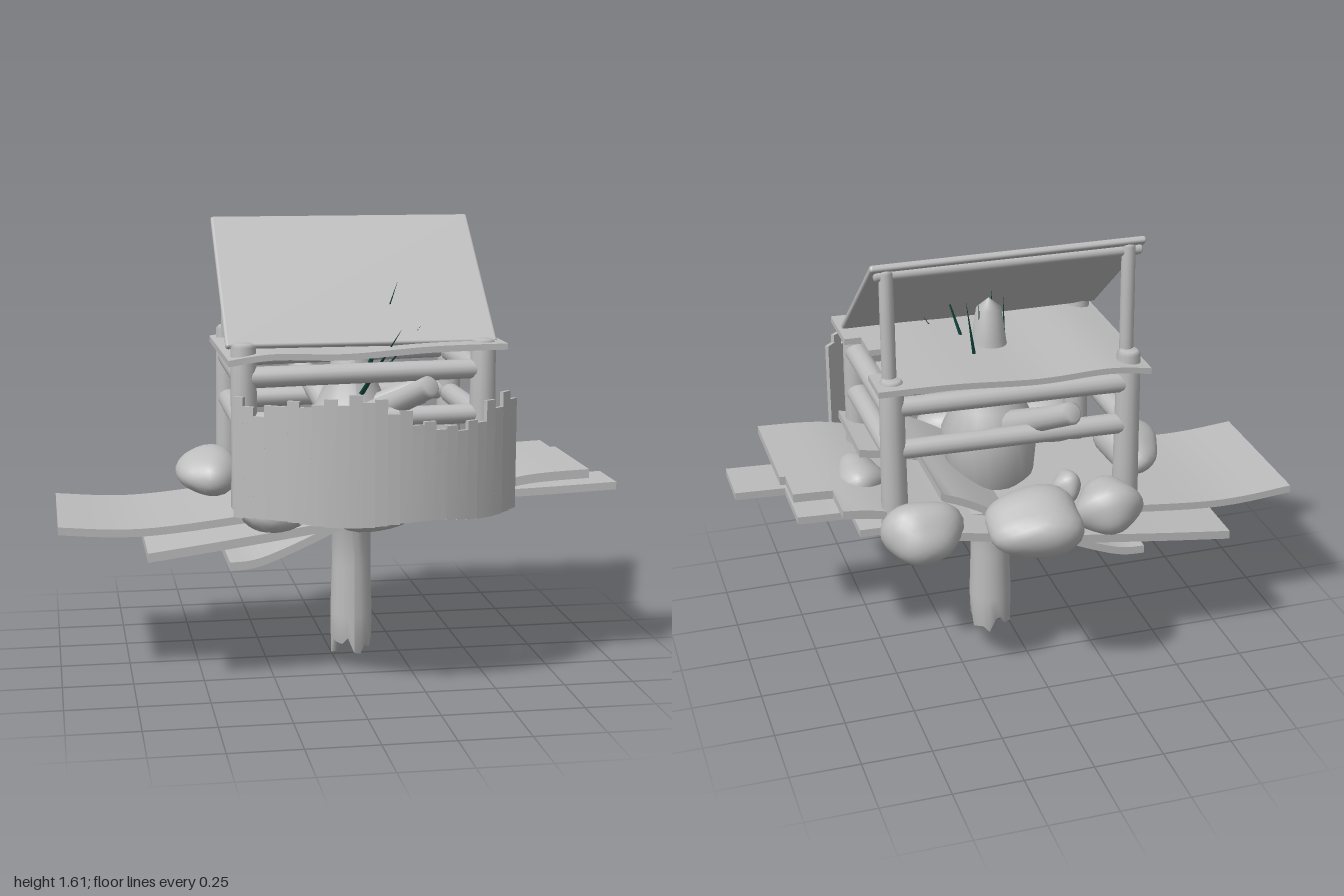
import * as THREE from 'three';
import { mergeGeometries, mergeVertices, toCreasedNormals } from 'three/addons/utils/BufferGeometryUtils.js';
import { RoundedBoxGeometry } from 'three/addons/geometries/RoundedBoxGeometry.js';

const V = (x, y, z) => new THREE.Vector3(x, y, z);

export function createModel() {
  const model = new THREE.Group();
  const grey = new THREE.MeshStandardMaterial({ color: 0xbdbdbd });
  grey.name = 'weathered grey';
  const green = new THREE.MeshStandardMaterial({ color: 0x0f4a3c, side: THREE.DoubleSide });
  green.name = 'dark green';

  const add = (name, geometry, material = grey) => {
    const mesh = new THREE.Mesh(geometry, material);
    mesh.name = name;
    model.add(mesh);
    return mesh;
  };

  // Slightly knobbly round log between two points
  const log = (name, a, b, r0, r1 = r0) => {
    const length = a.distanceTo(b);
    const c = Math.min(0.012, r1 * 0.4);
    const profile = [[0, 0], [r0 - c, 0], [r0, c], [r0 * 0.95, length * 0.3],
      [r1 * 1.04, length * 0.65], [r1, length - c], [r1 - c, length], [0, length]];
    const geo = new THREE.LatheGeometry(profile.map(p => new THREE.Vector2(...p)), 14);
    const mesh = add(name, geo);
    mesh.position.copy(a);
    mesh.quaternion.setFromUnitVectors(V(0, 1, 0), b.clone().sub(a).normalize());
  };

  // Warped layer of boards: a curve in x and y, split in z into strips [z0, z1, endX]
  const boards = (name, path, strips, t) => {
    const curve = new THREE.SplineCurve(path.map(p => new THREE.Vector2(...p)));
    const parts = strips.map(([z0, z1, endX]) => {
      let line = curve.getPoints(32);
      line = line.filter(p => p.x < endX - 0.01).concat(
        new THREE.Vector2(endX, line.find(p => p.x >= endX - 0.01)?.y ?? line.at(-1).y));
      const top = line.map(p => new THREE.Vector2(p.x, p.y + t / 2));
      const bottom = line.map(p => new THREE.Vector2(p.x, p.y - t / 2)).reverse();
      return new THREE.ExtrudeGeometry(new THREE.Shape([...bottom, ...top]),
        { depth: z1 - z0, bevelEnabled: false }).translate(0, 0, z0);
    });
    add(name, toCreasedNormals(mergeGeometries(parts), 0.5));
  };

  // Broken post swelling into a trunk that passes through the shelf
  const profile = [[0, 0.1], [0.055, 0.01], [0.075, 0.02], [0.078, 0.16], [0.072, 0.35], [0.075, 0.6],
    [0.16, 0.68], [0.175, 0.85], [0.13, 0.95], [0.085, 1.05], [0.06, 1.2], [0.045, 1.31], [0, 1.35]];
  const trunk = new THREE.LatheGeometry(profile.map(p => new THREE.Vector2(...p)), 20);
  const tp = trunk.attributes.position;
  for (let i = 0; i < tp.count; i++) {
    const a = Math.atan2(tp.getZ(i), tp.getX(i));
    if (tp.getY(i) < 0.05) tp.setY(i, 0.045 + 0.045 * Math.sin(a * 5 + 1) * Math.cos(a * 2));
  }
  trunk.computeVertexNormals();
  add('brokenPost', trunk).position.set(0.075, 0, -0.025);
  log('frontBranch', V(0.1, 0.88, 0), V(0.28, 1.07, 0.4), 0.055, 0.04);
  log('backBranch', V(0.06, 0.85, -0.05), V(-0.09, 1.08, -0.47), 0.055, 0.04);
  log('sideBranch', V(0.1, 0.92, 0.03), V(0.32, 1.01, 0.09), 0.05, 0.05);

  // Three crossed layers of floor boards
  boards('middleFloorBoards', [[-1, 0.57], [-0.7, 0.555], [-0.25, 0.6], [0.2, 0.645], [0.6, 0.65], [1, 0.665]],
    [[-0.32, -0.18, 0.63], [-0.18, 0.05, 0.82], [0.05, 0.25, 1]], 0.028);
  boards('upperFloorBoards', [[-0.7, 0.5], [-0.4, 0.54], [0, 0.6], [0.4, 0.68], [0.62, 0.73], [0.85, 0.745]],
    [[-0.46, -0.33, 0.45], [-0.33, -0.17, 0.69], [-0.17, -0.03, 0.83], [-0.03, 0.4, 0.85]], 0.032);
  boards('lowerFloorBoards', [[-0.41, 0.435], [-0.28, 0.455], [0, 0.58], [0.3, 0.75], [0.56, 0.81]],
    [[-0.36, -0.03, 0.35], [-0.03, 0.31, 0.56]], 0.03);

  // Shelf boards under the roof with uneven ends
  boards('shelfBoards', [[-0.41, 1.15], [-0.25, 1.17], [0, 1.165], [0.3, 1.185], [0.57, 1.19]],
    [[-0.37, -0.22, 0.56], [-0.22, -0.12, 0.51], [-0.12, -0.02, 0.46], [-0.02, 0.1, 0.51], [0.1, 0.32, 0.57]], 0.022);

  // Corner posts and roof posts
  for (const x of [-0.35, 0.5]) {
    log('frontPost', V(x, 0.62, 0.245), V(x, 1.21, 0.245), 0.048, 0.044);
    log('backPost', V(x, 0.62, -0.3), V(x, 1.21, -0.3), 0.048, 0.042);
    log('roofPost', V(x, 1.12, -0.275), V(x, 1.59, -0.268), 0.026, 0.024);
  }
  // Fence rails on all four sides
  for (const y of [0.93, 1.09]) {
    for (const x of [-0.35, 0.5]) log('sideRail', V(x, y, 0.25), V(x, y + 0.005, -0.3), 0.042, 0.038);
    for (const z of [0.245, -0.3]) log('longRail', V(-0.37, y, z), V(0.52, y + 0.015, z), 0.038, 0.034);
  }
  log('roofBeam', V(-0.4, 1.565, -0.262), V(0.54, 1.57, -0.262), 0.02);

  // Sloping roof panel
  const roof = new RoundedBoxGeometry(0.965, 0.024, 0.655, 3, 0.01);
  const roofMesh = add('roofPanel', roof);
  roofMesh.rotation.x = Math.atan2(0.41, 0.5);
  roofMesh.position.set(0.073, 1.4, -0.03);

  // Curved front shield with a broken upper edge
  const R = 0.677, half = 0.81;
  const tops = [1.06, 1.03, 1, 1.04, 1.04, 1.06, 1.04, 1.05, 1.07, 1.05, 1.085, 1.06, 1.07, 1.02,
    1.03, 0.98, 0.99, 0.96, 0.97, 0.95, 0.98, 0.97, 1.04, 1.01, 1.06, 1.03];
  const step = 2 * half / tops.length;
  const slats = tops.map((top, i) => {
    const bottom = 0.645 + 0.008 * Math.sin(i * 0.5);
    const a = -half + (i + 0.5) * step;
    return new THREE.BoxGeometry(R * step * 1.01, top - bottom, 0.014)
      .translate(0, (top + bottom) / 2, R - 0.007).rotateY(a).translate(0.08, 0, -0.017);
  });
  add('curvedShield', toCreasedNormals(mergeGeometries(slats), 0.5));

  // Boulders: centre, half sizes
  const rocks = [
    [-0.46, 0.71, -0.04, 0.11, 0.085, 0.175], [-0.25, 0.66, -0.4, 0.13, 0.1, 0.11],
    [0.07, 0.71, -0.52, 0.17, 0.11, 0.15], [0.43, 0.68, -0.42, 0.13, 0.115, 0.13],
    [0.56, 0.715, -0.03, 0.09, 0.075, 0.12], [-0.25, 0.65, 0.35, 0.15, 0.085, 0.12],
    [0.07, 0.66, 0.43, 0.145, 0.08, 0.15], [0.42, 0.67, 0.34, 0.11, 0.075, 0.11],
    [0.15, 0.61, -0.02, 0.155, 0.095, 0.12], [-0.08, 0.78, -0.43, 0.05, 0.06, 0.06],
  ];
  rocks.forEach(([x, y, z, a, b, c], k) => {
    let geo = new THREE.IcosahedronGeometry(1, 4);
    geo.deleteAttribute('normal');
    geo.deleteAttribute('uv');
    geo = mergeVertices(geo);
    const p = geo.attributes.position;
    for (let i = 0; i < p.count; i++) {
      const v = V().fromBufferAttribute(p, i);
      const s = 1 + 0.08 * Math.sin(v.x * 3 + k * 1.7) + 0.07 * Math.sin(v.z * 4 + v.y * 2 + k * 2.3);
      p.setXYZ(i, v.x * a * s, v.y * b * s, v.z * c * s);
    }
    geo.computeVertexNormals();
    add('boulder', geo).position.set(x, y, z);
  });

  // Thin grass blades: base, tip, half width
  const blades = [
    [V(0.1, 0.98, 0.0), V(0.22, 1.41, 0.11), 0.012], [V(0.09, 1.0, 0.1), V(0.2, 1.26, 0.3), 0.01],
    [V(0.05, 0.98, -0.03), V(0.06, 1.4, 0.0), 0.011], [V(0.02, 1.0, -0.04), V(-0.01, 1.34, 0.08), 0.009],
    [V(0.12, 0.98, -0.08), V(0.2, 1.41, -0.17), 0.012], [V(0.1, 1.0, -0.04), V(0.12, 1.35, -0.05), 0.012],
    [V(0.18, 1.1, 0.12), V(0.29, 1.26, 0.2), 0.004],
  ];
  for (const [base, tip, w] of blades) {
    const geo = new THREE.ConeGeometry(w, base.distanceTo(tip), 4).scale(1, 1, 0.5);
    const mesh = add('grassBlade', geo, green);
    mesh.position.copy(base).lerp(tip, 0.5);
    mesh.quaternion.setFromUnitVectors(V(0, 1, 0), tip.clone().sub(base).normalize());
  }
  return model;
}
